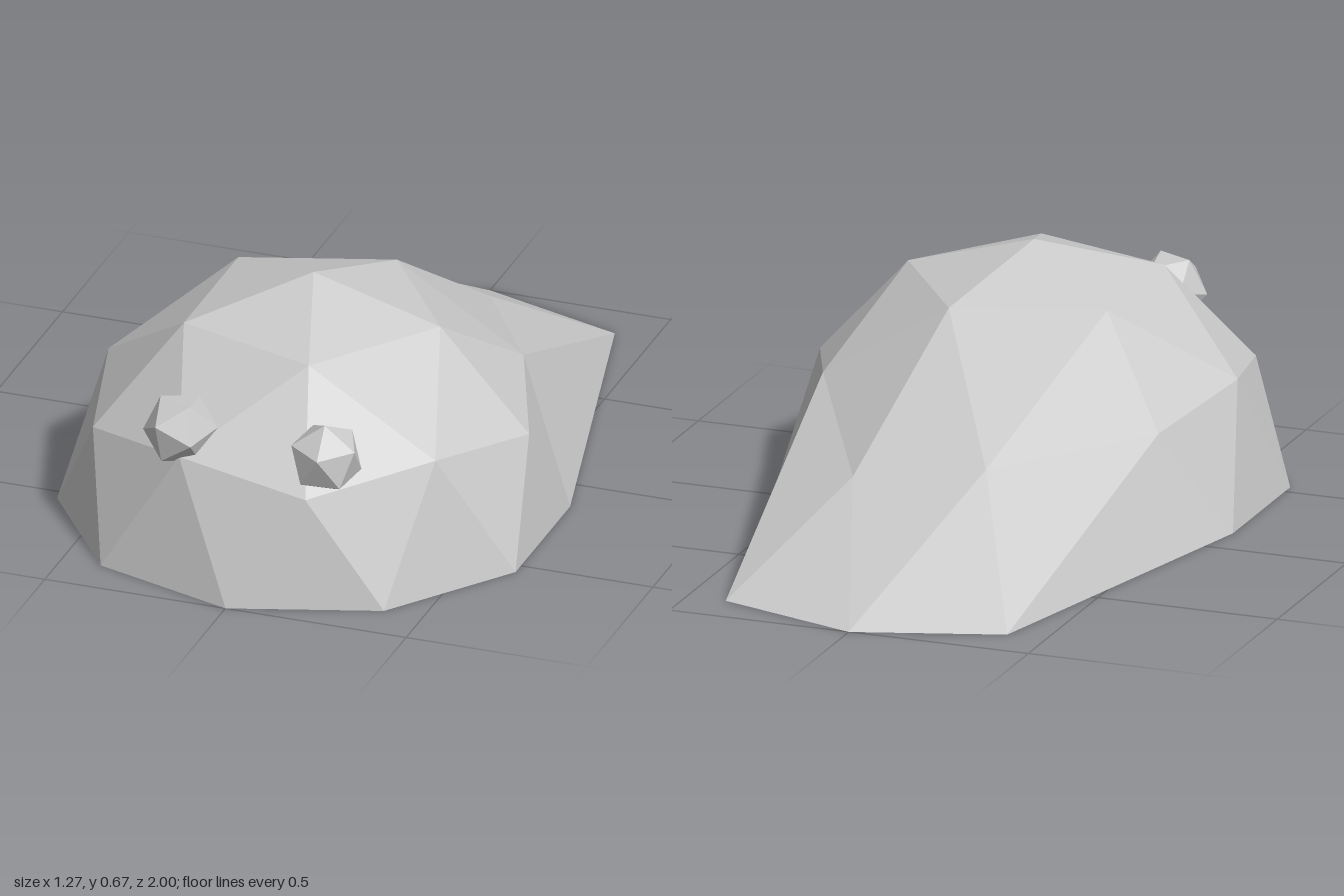
import * as THREE from 'three';

const material = new THREE.MeshStandardMaterial({ color: 0xcccccc, flatShading: true });

// Icosahedral ball standing on a vertex, with one upper ring vertex towards +x.
function uprightBall(radius, detail) {
  const g = new THREE.IcosahedronGeometry(radius, detail);
  const t = (1 + Math.sqrt(5)) / 2;
  g.rotateZ(Math.atan(1 / t));
  g.rotateY(Math.PI);
  return g;
}

// Half dome with its rear rim drawn out into a broad tail.
function createBody() {
  const R = 0.667, cz = 0.333;
  const g = uprightBall(R, 1);
  const p = g.attributes.position;
  const v = new THREE.Vector3();
  for (let i = 0; i < p.count; i++) {
    v.fromBufferAttribute(p, i);
    const onRim = Math.abs(v.y) < 0.01;
    if (onRim && v.z < -0.4) {
      v.z -= 0.667;                       // tail rim
    } else if (v.y > 0.2 && v.y < 0.4 && v.z < -0.45) {
      v.z -= 0.26;                        // slope between dome and tail
      v.y -= 0.05;
    }
    v.y = Math.max(v.y, 0);               // flat underside
    if (onRim) v.y = 0;
    p.setXYZ(i, v.x, v.y, v.z + cz);
  }
  g.computeVertexNormals();
  const mesh = new THREE.Mesh(g, material);
  mesh.name = 'body';
  return mesh;
}

// Faceted eye: roll about its front vertex, then tilt up and turn sideways.
function createEye(name, position, roll, tilt, yaw) {
  const rad = THREE.MathUtils.degToRad;
  const g = uprightBall(0.1, 0);
  g.rotateX(Math.PI / 2);
  g.rotateZ(rad(roll));
  g.rotateX(-rad(tilt));
  g.rotateY(rad(yaw));
  const mesh = new THREE.Mesh(g, material);
  mesh.name = name;
  mesh.position.set(...position);
  return mesh;
}

export function createModel() {
  const group = new THREE.Group();
  group.name = 'mouse';
  group.add(
    createBody(),
    createEye('leftEye', [0.214, 0.392, 0.822], 90, 17, 5),
    createEye('rightEye', [-0.19, 0.408, 0.822], 55, 20, -24),
  );
  return group;
}
